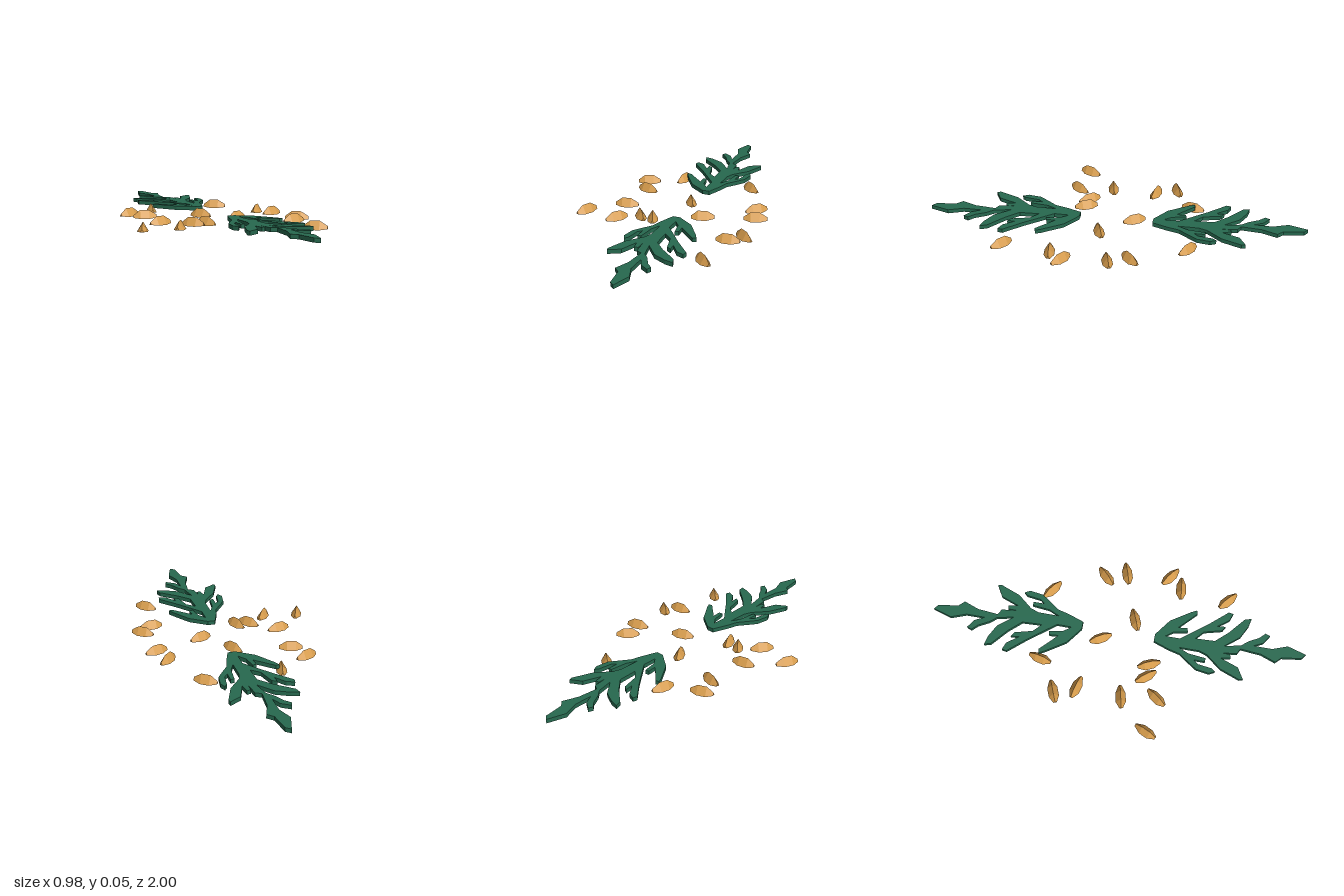
import * as THREE from 'three';

// Half-width, x position, bottom and ridge heights of the seed's cross-sections
const SEED_SECTIONS = [
  [-0.062, 0.009, 0.004, 0.018],
  [-0.026, 0.027, 0, 0.045],
  [0.022, 0.027, 0, 0.045],
  [0.062, 0.009, 0.004, 0.02],
];

// Seed centre x, z and heading in degrees
const SEEDS = [
  [-0.16, -0.385, 77], [-0.33, -0.28, 22], [-0.285, -0.165, -15], [0.24, -0.4, -36],
  [0.37, -0.125, 45], [0.405, -0.015, 18], [0.01, -0.09, -60], [0.145, 0.075, 22],
  [-0.295, 0.075, 13], [-0.455, 0.235, 65], [-0.265, 0.26, 54], [-0.16, 0.185, -52],
  [-0.09, 0.19, -66], [0.43, 0.22, -36], [0.37, 0.29, 7], [0.345, 0.55, -41],
];

// Sprig outline in hundredths, from the stem foot up the right side and down the left
const SPRIG = [
  2, 19.5, 5, 28, 6.5, 34, 11.5, 41, 13.5, 44, 14.5, 51, 13, 54, 11.5, 52, 10.5, 44.5,
  8.5, 42, 8.5, 48, 6.5, 48, 5.5, 38.5, 3, 33, 3, 44, 4.5, 48.5, 11, 56.5, 15, 67,
  14.5, 69, 8.5, 65.5, 5, 56, 4, 61, 2, 60.5, 2, 55.5, 1, 64, -2, 65.5,
  -1, 76.5, 2, 84.5, -1, 87.5, -2.5, 98, -5, 100, -8, 90, -5, 82, -5, 72,
  -7.5, 77, -12, 80, -13, 77.5, -10, 74.5, -7, 69, -4, 65.5, -2, 56.5,
  -8.5, 64.5, -15.5, 68, -20, 69, -19, 65.5, -10, 58, -4, 51.5, -3.5, 41,
  -8, 45, -10.5, 54.5, -13, 56, -12.5, 51.5, -17, 57.5, -21, 59, -21.5, 56.5,
  -13.5, 47.5, -2, 33, -2, 25, -5, 29, -6.5, 36.5, -8.5, 36, -8, 31,
  -17.5, 40, -19.5, 39.5, -18, 36.5, -11, 26, -2, 19.5,
];

// Faceted grain: triangular sections with the ridge on top
function seedGeometry() {
  const pos = [];
  const index = [];
  for (const [x, w, low, top] of SEED_SECTIONS) {
    pos.push(x, low, w, x, top, 0, x, low, -w);
  }
  const last = (SEED_SECTIONS.length - 1) * 3;
  for (let s = 0; s < last; s += 3) {
    for (let k = 0; k < 3; k++) {
      const a = s + k, b = s + (k + 1) % 3;
      index.push(a, a + 3, b, b, a + 3, b + 3);
    }
  }
  index.push(0, 1, 2, last, last + 2, last + 1);
  const geo = new THREE.BufferGeometry();
  geo.setAttribute('position', new THREE.Float32BufferAttribute(pos, 3));
  geo.setIndex(index);
  const flat = geo.toNonIndexed();
  flat.computeVertexNormals();
  return flat;
}

// Flat cut-out sprig lying on the ground plane, pointing to the back
function sprigGeometry() {
  const points = [];
  for (let i = 0; i < SPRIG.length; i += 2) {
    points.push(new THREE.Vector2(SPRIG[i] / 100, SPRIG[i + 1] / 100));
  }
  const geo = new THREE.ExtrudeGeometry(new THREE.Shape(points), { depth: 0.022, bevelEnabled: false });
  return geo.rotateX(-Math.PI / 2);
}

export function createModel() {
  const model = new THREE.Group();
  model.name = 'sprigsAndSeeds';
  const green = new THREE.MeshStandardMaterial({ color: 0x27694f, flatShading: true });
  const gold = new THREE.MeshStandardMaterial({ color: 0xd99e4d, flatShading: true });

  // Two sprigs, the front one turned half round
  const sprigGeo = sprigGeometry();
  ['backSprig', 'frontSprig'].forEach((name, i) => {
    const sprig = new THREE.Mesh(sprigGeo, green);
    sprig.name = name;
    sprig.position.set(0.05, 0.02, 0);
    sprig.rotation.y = i * Math.PI;
    model.add(sprig);
  });

  // Scattered seeds
  const seeds = new THREE.Group();
  seeds.name = 'seeds';
  const seedGeo = seedGeometry();
  SEEDS.forEach(([x, z, heading], i) => {
    const seed = new THREE.Mesh(seedGeo, gold);
    seed.name = `seed${i + 1}`;
    seed.position.set(x, 0, z);
    seed.rotation.y = THREE.MathUtils.degToRad(heading);
    seeds.add(seed);
  });
  model.add(seeds);
  return model;
}
